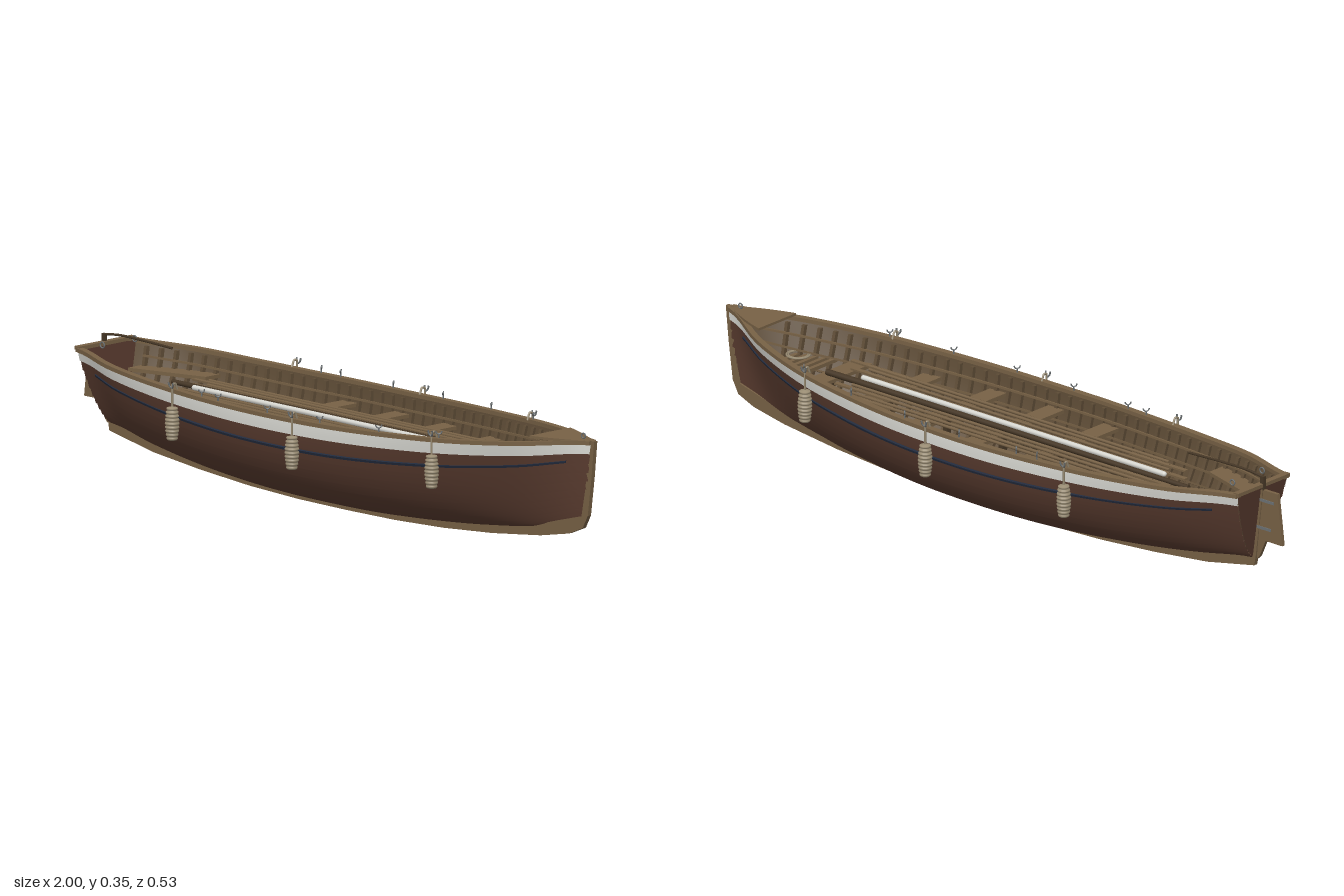
import * as THREE from 'three';
import { mergeGeometries, toCreasedNormals } from 'three/addons/utils/BufferGeometryUtils.js';

const V = (x, y, z) => new THREE.Vector3(x, y, z);
const lerp = THREE.MathUtils.lerp;
const mat = (name, color) => new THREE.MeshStandardMaterial({ name, color, side: THREE.DoubleSide });

// Smooth function through evenly spaced values
function track(values) {
  const c = new THREE.SplineCurve(values.map((v, i) => new THREE.Vector2(i, v)));
  return u => c.getPoint(THREE.MathUtils.clamp(u, 0, 1)).y;
}
// Hull lines from stern (u = 0) to bow (u = 1)
const beam = track([.1, .165, .2, .222, .235, .236, .228, .206, .17, .105, .006]);
const sheer = track([.308, .3, .292, .287, .285, .285, .288, .294, .303, .316, .333]);
const bilge = track([.1, .07, .047, .032, .024, .022, .024, .034, .05, .075, .125]);
const vee = track([.5, .3, .15, .05, 0, 0, .05, .15, .35, .7, 1]);
const uAt = x => (x + .92) / 1.905;

// Point on the hull: t runs keel to sheer, off moves outward
function hull(u, t, side, off = 0, dx = 0, dy = 0) {
  const a = t * Math.PI / 2, f = 1 - Math.cos(a);
  const z = beam(u) * lerp(Math.sin(a), f, vee(u)) + off * Math.sin(a);
  const y = lerp(bilge(u), sheer(u), f) - off * Math.cos(a);
  return V(lerp(lerp(-.895, -.925, f), lerp(.965, .988, f), u) + dx, y + dy, side * Math.max(z, .001));
}
// Inner half width of the hull at a given x and height
function inside(x, y) {
  const u = uAt(x), f = THREE.MathUtils.clamp((y - bilge(u)) / (sheer(u) - bilge(u)), 0, 1);
  return beam(u) * lerp(Math.sin(Math.acos(1 - f)), f, vee(u)) - .012;
}
// Grid surface from a function of (a, b) in 0..1
function surf(fn, na, nb) {
  const pos = [], idx = [];
  for (let i = 0; i <= na; i++) for (let j = 0; j <= nb; j++) pos.push(...fn(i / na, j / nb).toArray());
  for (let i = 0; i < na; i++) for (let j = 0; j < nb; j++) {
    const p = i * (nb + 1) + j, q = p + nb + 1;
    idx.push(p, q, p + 1, q, q + 1, p + 1);
  }
  const g = new THREE.BufferGeometry();
  g.setAttribute('position', new THREE.Float32BufferAttribute(pos, 3));
  g.setIndex(idx);
  g.computeVertexNormals();
  return g;
}
// Hull surface facing outward (out = true) or inward
function skin(fn, na, nb, side, out) {
  return surf((a, b) => fn((side > 0) === out ? a : 1 - a, b), na, nb);
}
// Bar with four corners given along s
function bar(n, corners) {
  const pos = [], idx = [];
  for (let i = 0; i <= n; i++) for (const p of corners(i / n)) pos.push(...p.toArray());
  for (let i = 0; i < n; i++) for (let k = 0; k < 4; k++) {
    const p = i * 4 + k, r = i * 4 + (k + 1) % 4;
    idx.push(p, r, p + 4, r, r + 4, p + 4);
  }
  const e = n * 4;
  idx.push(0, 2, 1, 0, 3, 2, e, e + 1, e + 2, e, e + 2, e + 3);
  // Turn the faces outward where the corner order is reversed
  const [c0, c1, , c3] = corners(.5), d = corners(.51)[0].sub(corners(.49)[0]);
  if (c1.clone().sub(c0).cross(c3.clone().sub(c0)).dot(d) < 0)
    for (let i = 0; i < idx.length; i += 3) [idx[i], idx[i + 1]] = [idx[i + 1], idx[i]];
  const g = new THREE.BufferGeometry();
  g.setAttribute('position', new THREE.Float32BufferAttribute(pos, 3));
  g.setIndex(idx);
  return toCreasedNormals(g, .6);
}
const box = (w, h, d, x, y, z) => new THREE.BoxGeometry(w, h, d).translate(x, y, z);
const tube = (pts, r, n = 12) => new THREE.TubeGeometry(new THREE.CatmullRomCurve3(pts), n, r, 6);
function plate(points, depth) {
  const s = new THREE.Shape(points.map(p => new THREE.Vector2(...p)));
  return new THREE.ExtrudeGeometry(s, { depth, bevelEnabled: false }).translate(0, 0, -depth / 2);
}

export function createModel() {
  const boat = new THREE.Group();
  boat.name = 'rowingBoat';
  const paint = mat('hull brown', 0x56392d), white = mat('white paint', 0xd8d8d2), wood = mat('wood', 0x776145);
  const inner = mat('inner wood', 0x5e4c36), dark = mat('dark wood', 0x463726), blue = mat('dark blue', 0x222b3d);
  const metal = mat('iron', 0x6c7173), rope = mat('rope', 0x9a8d74);
  const add = (name, geos, m) => {
    const list = [].concat(geos).map(g => {
      const n = g.index ? g.toNonIndexed() : g;
      n.deleteAttribute('uv');
      return n;
    });
    const mesh = new THREE.Mesh(mergeGeometries(list), m);
    mesh.name = name;
    boat.add(mesh);
  };
  const both = fn => [1, -1].flatMap(fn);

  // Overlapping planks, each with a lip along its lower edge
  const N = 11, top = .905;
  const strake = (s, t0, t1) => [
    skin((u, b) => hull(u, lerp(t0, t1, b), s, .004 * (1 - b)), 56, 3, s, true),
    skin((u, b) => hull(u, t0, s, .004 * b), 56, 1, s, true)];
  add('planks', both(s => Array.from({ length: N }, (_, i) => strake(s, i / N * top, (i + 1) / N * top)).flat()), paint);
  add('topStrake', both(s => strake(s, top, 1)), white);
  add('innerPlanks', both(s => skin((u, b) => hull(u, b, s, -.008), 56, 14, s, false)), inner);
  add('transom', [0, .02].map(dx => surf((a, b) => {
    const p = hull(0, a, 1, 0, dx);
    return p.setZ(lerp(-p.z, p.z, b));
  }, 16, 2)), paint);
  // Thin painted line that rises toward both ends
  add('paintLine', both(s => bar(50, q => {
    const u = lerp(.04, .965, q), t = .79 + .05 * (2 * u - 1) ** 2;
    return [[0, 0], [0, .007], [.016, .007], [.016, 0]].map(([dt, o]) => hull(u, t + dt, s, o));
  })), blue);

  // Gunwale, stringers and frames
  const rail = (s, t, o0, o1, y0, y1, a = 0, b = 1) => bar(50, q =>
    [[o0, y0], [o1, y0], [o1, y1], [o0, y1]].map(([o, y]) => hull(lerp(a, b, q), t, s, o, 0, y)));
  add('gunwale', both(s => rail(s, 1, -.012, .007, -.006, .005)), wood);
  add('stringers', both(s => [.4, .54, .66, .78, .89].map(t => rail(s, t, -.024, -.016, -.003, .003, .03, .95))), wood);
  add('frames', both(s => Array.from({ length: 42 }, (_, i) => bar(10, q => {
    const u = .03 + i * .0218, t = lerp(.05, .97, q);
    return [[-.005, -.006], [.005, -.006], [.005, -.018], [-.005, -.018]].map(([dx, o]) => hull(u, t, s, o, dx));
  }))), inner);

  // Keel, stem and sternpost
  add('keel', plate([[-.93, .3], [-.905, .1], [-.9, .075], [-.73, .042], [-.54, .022], [-.35, .008], [-.16, .001], [.03, 0],
    [.22, .002], [.41, .01], [.6, .025], [.79, .048], [.9, .07], [.955, .093], [.975, .13], [.99, .24], [1, .338],
    [.982, .338], [.965, .2], [.95, .125], [.79, .082], [.6, .056], [.41, .039], [.22, .029], [.03, .027], [-.16, .029],
    [-.35, .037], [-.54, .052], [-.73, .075], [-.88, .11], [-.91, .3]], .012), wood);

  // Rudder, pintles and tiller
  add('rudder', plate([[-.982, .3], [-.932, .3], [-.916, .175], [-.908, .095], [-.918, .105], [-.94, .155], [-1, .155]], .01), wood);
  add('rudderIrons', [box(.05, .008, .014, -.945, .27, 0), box(.05, .008, .014, -.935, .19, 0)], metal);
  add('tiller', [tube([V(-.925, .335, 0), V(-.87, .341, 0), V(-.78, .341, 0), V(-.66, .337, 0)], .0035, 20),
    box(.012, .04, .01, -.926, .317, 0)], dark);

  // Transom cap and foredeck
  add('transomCap', box(.018, .01, .21, -.922, .312, 0), wood);
  add('foredeck', bar(10, q => {
    const x = lerp(.82, .985, q), w = lerp(.076, .004, q * q * .35 + q * .65);
    return [V(x, .33, -w), V(x, .33, w), V(x, .337, w), V(x, .337, -w)];
  }), wood);

  // Cross seats, stern benches and floor
  const seatX = [-.19, .01, .21, .42, .625];
  const seat = (x, w, y) => bar(4, q => {
    const px = x + (q - .5) * w, h = inside(px, y);
    return [V(px, y, -h), V(px, y, h), V(px, y + .01, h), V(px, y + .01, -h)];
  });
  add('seats', seatX.map(x => seat(x, .056, .222)), wood);
  add('sternBenches', both(s => bar(8, q => {
    const x = lerp(-.87, -.64, q), o = inside(x, .245), i = lerp(.035, .105, q);
    return [V(x, .236, s * i), V(x, .236, s * o), V(x, .246, s * o), V(x, .246, s * i)];
  })), wood);
  add('floorboards', [-.1, -.06, -.02, .02, .06, .1].map(z =>
    box(1.3 - Math.abs(z) * 6, .008, .03, -.06, .092, z)), inner);
  add('seatPosts', seatX.map(x => box(.016, .14, .016, x, .155, 0)), dark);

  // Oars stowed lengthwise, blades alternating
  const oars = [];
  both(s => [.034, .056, .08, .1].forEach((z, i) => {
    const d = i % 2 ? 1 : -1, x = -.02 + i * .02 * s;
    oars.push(new THREE.CylinderGeometry(.0045, .0045, 1.08, 8).rotateZ(Math.PI / 2).translate(x, .24, s * z),
      box(.2, .005, .014, x + d * .5, .24, s * z));
  }));
  add('oars', oars, wood);
  add('mast', new THREE.CylinderGeometry(.007, .009, 1.3, 10).rotateZ(Math.PI / 2).translate(-.02, .242, -.012), dark);
  add('furledSail', new THREE.CapsuleGeometry(.0075, 1.08, 4, 10).rotateZ(Math.PI / 2).translate(-.02, .246, .012), white);

  // Rowlocks
  const locks = [];
  both(s => [-.31, -.24, -.04, .16, .37, .57].forEach(x => {
    const u = uAt(x), y = sheer(u), z = s * (beam(u) - .004);
    locks.push(new THREE.CylinderGeometry(.002, .0025, .02, 6).translate(x, y + .006, z),
      new THREE.TorusGeometry(.008, .002, 6, 10, Math.PI).rotateZ(Math.PI).rotateY(.9 * s).translate(x, y + .024, z));
  }));
  add('rowlocks', locks, metal);

  // Ribbed rope fenders on lanyards
  const profile = [new THREE.Vector2(.001, 0)];
  for (let i = 0; i < 9; i++) {
    const r = .0145 + .006 * Math.sin((i + .8) / 9.6 * Math.PI), y = i * .0102;
    for (const [dr, dy] of [[.004, 0], [.001, .0025], [0, .005], [.001, .0075]]) profile.push(new THREE.Vector2(r - dr, y + dy));
  }
  profile.push(new THREE.Vector2(.001, .0925));
  const fenders = [], lines = [], cleats = [];
  both(s => [[-.415, .231], [.07, .246], [.555, .187]].forEach(([x, w]) => {
    const y = sheer(uAt(x)) - .132, z = s * w;
    fenders.push(new THREE.LatheGeometry(profile, 14).translate(x, y, z));
    lines.push(new THREE.CylinderGeometry(.003, .003, .062, 6).translate(x, y + .122, z),
      tube([V(x, y + .15, z), V(x, y + .155, z - s * .01), V(x, y + .135, z - s * .02)], .003, 8));
    for (const d of [-1, 1]) cleats.push(tube([V(x, y + .142, z), V(x + d * .006, y + .148, z + s * .004), V(x + d * .008, y + .158, z + s * .006)], .0025, 6));
  }));
  add('fenders', fenders, rope);
  add('fenderLines', lines, rope);
  add('fenderCleats', cleats, metal);

  // Mooring rings, bow grating and coiled line
  add('mooringRings', [new THREE.TorusGeometry(.007, .002, 6, 14).translate(.952, .346, 0),
    new THREE.TorusGeometry(.008, .002, 6, 14).translate(-.87, .322, .06),
    new THREE.TorusGeometry(.008, .002, 6, 14).translate(-.87, .322, -.06)], metal);
  add('bowGrating', [.7, .725, .75, .775, .8].map(x => seat(x, .012, .222)), wood);
  add('coiledLine', [.032, .027].map(r =>
    new THREE.TorusGeometry(r, .0025, 6, 24).rotateX(Math.PI / 2).translate(.785, .236, .045)), rope);
  return boat;
}
